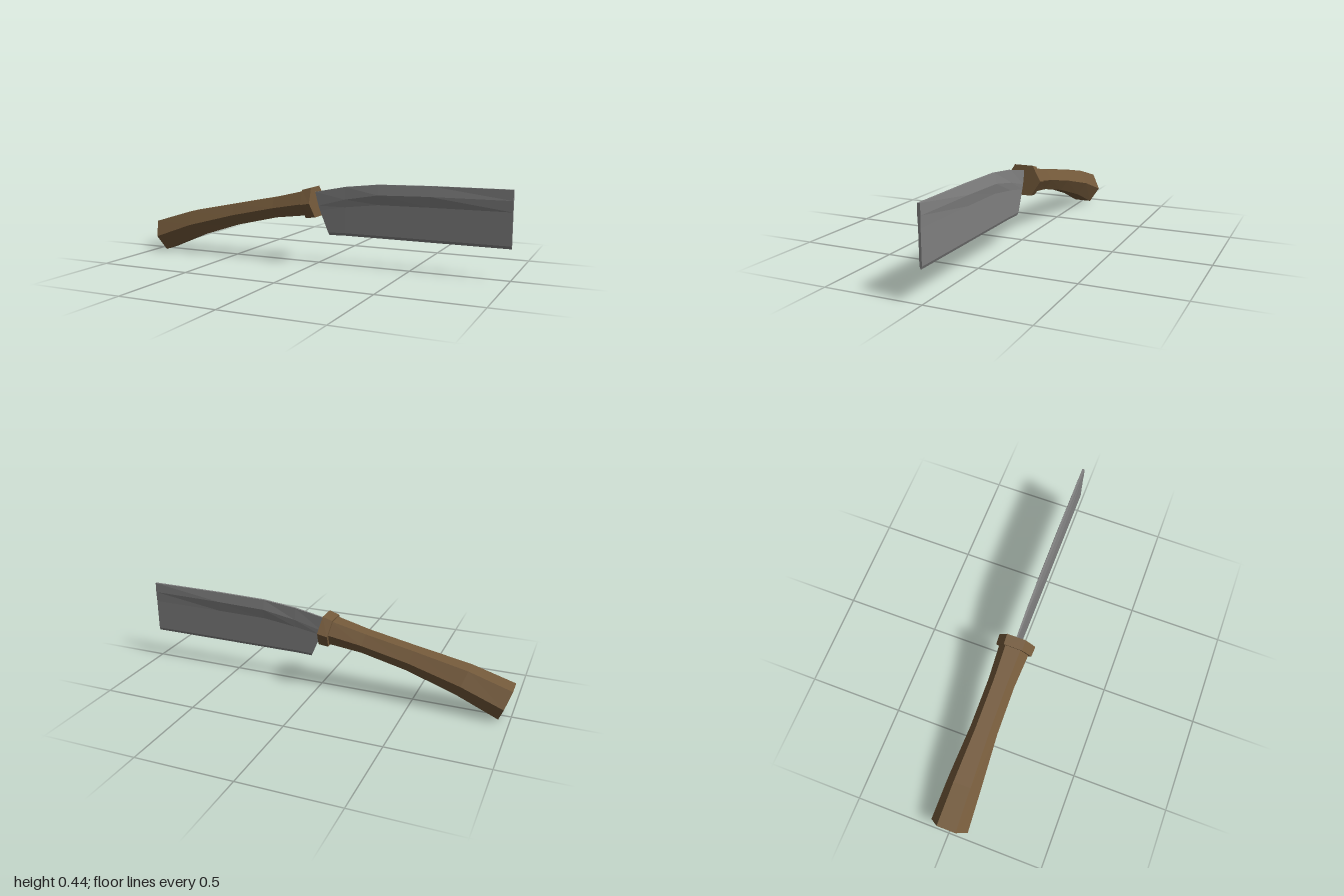
import * as THREE from 'three';

// Skin a list of equal-length rings (running along +x) and cap both ends.
function loft(rings) {
  const pos = [];
  const tri = (...pts) => pts.forEach((p) => pos.push(...p));
  const n = rings[0].length;
  for (let i = 0; i < rings.length - 1; i++) {
    for (let j = 0; j < n; j++) {
      const k = (j + 1) % n;
      const a = rings[i][j], b = rings[i][k], c = rings[i + 1][k], d = rings[i + 1][j];
      tri(a, b, c);
      tri(a, c, d);
    }
  }
  const centre = (r) => [0, 1, 2].map((q) => r.reduce((s, p) => s + p[q], 0) / n);
  const first = rings[0], last = rings[rings.length - 1];
  const c0 = centre(first), c1 = centre(last);
  for (let j = 0; j < n; j++) {
    const k = (j + 1) % n;
    tri(c0, first[k], first[j]);
    tri(c1, last[j], last[k]);
  }
  const g = new THREE.BufferGeometry();
  g.setAttribute('position', new THREE.Float32BufferAttribute(pos, 3));
  g.computeVertexNormals();
  return g;
}

// Hexagonal ring from a top point, a bottom point and a half width.
function hexRing([tx, ty, bx, by, w]) {
  const f = w * 0.51, mx = (tx + bx) / 2, my = (ty + by) / 2;
  return [[tx, ty, f], [mx, my, w], [bx, by, f], [bx, by, -f], [mx, my, -w], [tx, ty, -f]];
}

// Mirrored blade ring from rows of [x, y, half thickness], spine to bevel, then the edge.
function bladeRing(rows, edge) {
  const back = rows.map(([x, y, t]) => [x, y, -t]).reverse();
  return [...rows, [...edge, 0], ...back];
}

export function createModel() {
  const wood = new THREE.MeshStandardMaterial({ color: 0x73593a });
  wood.name = 'brown wood';
  const steel = new THREE.MeshStandardMaterial({ color: 0x808080 });
  steel.name = 'grey steel';
  wood.flatShading = steel.flatShading = true;

  const model = new THREE.Group();
  model.name = 'cleaver';
  const add = (name, rings, material) => {
    const mesh = new THREE.Mesh(loft(rings), material);
    mesh.name = name;
    model.add(mesh);
  };

  // Curved grip, flaring toward the butt
  add('handle', [
    [-1, 0.163, -0.944, 0.002, 0.098],
    [-0.78, 0.23, -0.73, 0.092, 0.088],
    [-0.5, 0.287, -0.47, 0.176, 0.071],
    [-0.25, 0.337, -0.23, 0.232, 0.069],
    [-0.06, 0.383, -0.035, 0.257, 0.08],
  ].map(hexRing), wood);

  // Collar between grip and blade
  add('collar', [
    [-0.075, 0.388, -0.053, 0.242, 0.096],
    [-0.022, 0.403, 0, 0.248, 0.098],
  ].map(hexRing), wood);

  // Blade: slanted heel, then straight stations [x, spine, ridge, hollow, ridge thickness]
  const heel = bladeRing([
    [-0.02, 0.376, 0.004], [0, 0.305, 0.006], [0.008, 0.28, 0.005], [0.055, 0.167, 0.005],
  ], [0.06, 0.153]);
  const stations = [
    [0.15, 0.41, 0.345, 0.305, 0.01],
    [0.33, 0.43, 0.377, 0.327, 0.014],
    [0.6, 0.436, 0.384, 0.33, 0.014],
    [1, 0.438, 0.386, 0.332, 0.008],
  ].map(([x, top, ridge, hollow, t]) => bladeRing([
    [x, top, 0.006], [x, ridge, t], [x, hollow, 0.006], [x, 0.17, 0.006],
  ], [x, 0.156]));
  add('blade', [heel, ...stations], steel);

  return model;
}
